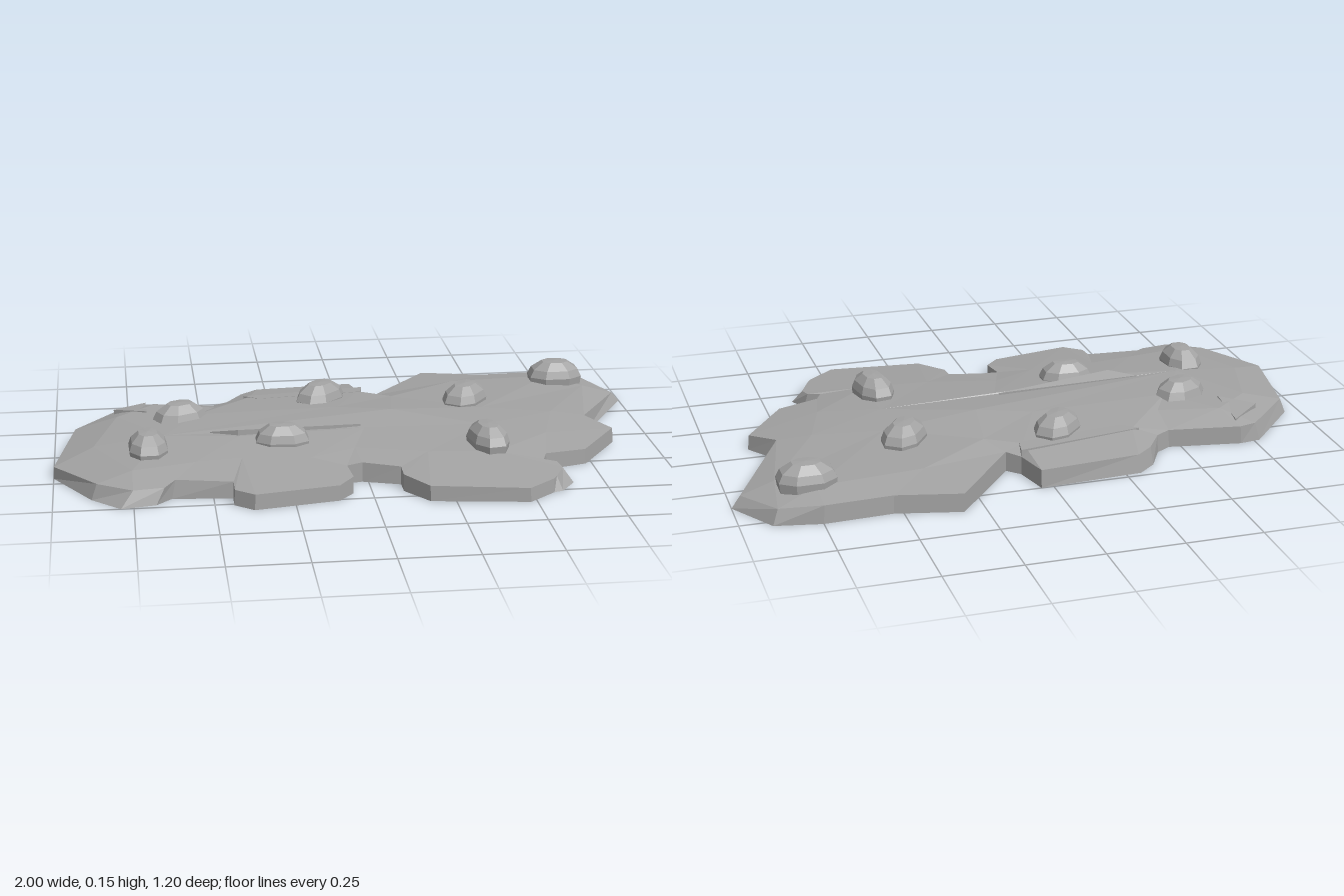
import * as THREE from 'three';

// Ground outline, clockwise from above: [x, z, rim height, rim inset scale]
const outline = [
  [-1, .2, .04, .998], [-.95, -.14, .05, .98], [-.77, -.34, .06, .98], [-.7, -.35, .06], [-.46, -.31, .06],
  [-.41, -.34, .06], [-.36, -.43, .06, .98], [-.3, -.48, .06, .98], [.04, -.5, .06], [.07, -.38, .06],
  [.11, -.34, .065], [.32, -.6, .06], [.53, -.55, .06], [.75, -.56, .06], [.9, -.53, .05, .98],
  [1, -.37, .035, .97], [.8, -.03, .065, .99], [.87, .07, .05], [.73, .27, .05], [.59, .31, .055],
  [.57, .36, .05], [.62, .38, .05, .98], [.65, .44, .045, .95], [.6, .51, .045, .97], [.57, .52, .045],
  [.48, .595, .045], [.17, .55, .05], [.1, .45, .055], [.1, .39, .06], [-.02, .35, .065],
  [-.07, .36, .06], [-.06, .45, .055], [-.11, .51, .05], [-.38, .56, .05], [-.44, .51, .05],
  [-.44, .45, .055], [-.63, .43, .06, .98], [-.68, .48, .05, .96], [-.79, .5, .05, .95], [-.88, .41, .05, .98],
];
// Shoulder and crown contours of the upper surface: [x, z, height]
const shoulder = [
  [-.87, .12, .075], [-.79, -.14, .088], [-.66, -.25, .092], [-.46, -.2, .088], [-.33, -.31, .085],
  [.05, -.33, .085], [.16, -.26, .085], [.4, -.42, .08], [.75, -.45, .078], [.86, -.35, .068],
  [.68, -.05, .078], [.62, .15, .072], [.42, .32, .074], [.2, .3, .076], [-.03, .24, .078],
  [-.18, .31, .076], [-.4, .3, .08], [-.55, .32, .08], [-.75, .36, .075],
];
const crown = [
  [-.64, .1, .098], [-.52, -.1, .1], [-.05, -.12, .1], [.13, -.06, .105],
  [.45, -.1, .086], [.42, .08, .086], [.02, .09, .094], [-.4, .14, .098],
];

// Pebbles: [x, z, half length, half width, turn]
const pebbles = [
  [-.58, -.09, .093, .068, .45], [-.695, .2, .095, .066, 1.6], [-.26, .175, .092, .06, -.05],
  [-.09, -.255, .1, .067, .8], [.405, -.185, .1, .067, .95], [.405, .25, .1, .063, 1.75],
  [.77, -.41, .098, .07, 0],
];

const stone = new THREE.MeshStandardMaterial({ color: 0xa3a3a3, flatShading: true });

function facetMesh(name, positions) {
  const geometry = new THREE.BufferGeometry();
  geometry.setAttribute('position', new THREE.Float32BufferAttribute(positions, 3));
  geometry.computeVertexNormals();
  const mesh = new THREE.Mesh(geometry, stone);
  mesh.name = name;
  return mesh;
}

// Add one triangle of [x, z, y] corners, turned to face up or down
function addTriangle(out, a, b, c, up) {
  const ny = (b[1] - a[1]) * (c[0] - a[0]) - (b[0] - a[0]) * (c[1] - a[1]);
  for (const [x, z, y] of (ny > 0) === up ? [a, b, c] : [a, c, b]) out.push(x, y, z);
}

// Cap a contour
function fill(out, ring, up) {
  const flat = ring.map(([x, z]) => new THREE.Vector2(x, z));
  for (const t of THREE.ShapeUtils.triangulateShape(flat, [])) {
    addTriangle(out, ring[t[0]], ring[t[1]], ring[t[2]], up);
  }
}

// Join two nested contours, always taking the shorter diagonal
function joinRings(out, outer, inner) {
  const gap = (a, b) => Math.hypot(a[0] - b[0], a[1] - b[1]);
  let i = 0, j = 0;
  while (i < outer.length || j < inner.length) {
    const a = outer[i % outer.length], nextA = outer[(i + 1) % outer.length];
    const b = inner[j % inner.length], nextB = inner[(j + 1) % inner.length];
    if (j === inner.length || (i < outer.length && gap(nextA, b) < gap(a, nextB))) {
      addTriangle(out, a, nextA, b, true);
      i++;
    } else {
      addTriangle(out, a, nextB, b, true);
      j++;
    }
  }
}

// Vertical sides between a lower and an upper contour
function addWalls(out, low, high) {
  low.forEach((a, i) => {
    const j = (i + 1) % low.length;
    for (const [x, z, y] of [low[j], a, high[i], low[j], high[i], high[j]]) out.push(x, y, z);
  });
}

function createSlab() {
  const out = [];
  const rim = outline.map(([x, z, h, s = .995]) => [x * s, z * s, h]);
  const base = outline.map(([x, z]) => [x, z, 0]);
  joinRings(out, rim, shoulder);
  joinRings(out, shoulder, crown);
  fill(out, crown, true);
  fill(out, base, false);
  addWalls(out, base, rim);
  return facetMesh('rockSlab', out);
}

// Thin splinter of rock standing proud of the slab
function createSplinter(name, corners) {
  const out = [];
  fill(out, corners, true);
  addWalls(out, corners.map(([x, z]) => [x, z, .05]), corners);
  return facetMesh(name, out);
}

// Rounded, slightly boxy faceted dome
function createPebbleGeometry() {
  const profile = [[.93, -.8], [1, 0], [.84, .5], [.42, .98], [0, 1.03]]
    .map(([x, y]) => new THREE.Vector2(x, y));
  const geometry = new THREE.LatheGeometry(profile, 8, Math.PI / 8);
  const p = geometry.attributes.position;
  const square = (v) => Math.sign(v) * Math.abs(v) ** .85;
  for (let i = 0; i < p.count; i++) p.setXYZ(i, square(p.getX(i)), p.getY(i), square(p.getZ(i)));
  return geometry;
}

export function createModel() {
  const group = new THREE.Group();
  group.name = 'rockPlatform';
  group.add(createSlab());

  // Cracked ledges on the surface, corners clockwise from above
  group.add(createSplinter('middleLedge', [[-.49, .09, .1], [.01, .07, .1], [-.4, .13, .116]]));
  group.add(createSplinter('backLedge', [[-.35, -.32, .086], [.07, -.38, .084], [.06, -.32, .087], [-.3, -.28, .088]]));
  group.add(createSplinter('cornerLedge', [[-.8, -.23, .084], [-.69, -.32, .076], [-.69, -.16, .097]]));

  // Faceted pebbles
  const pebbleGeometry = createPebbleGeometry();
  pebbles.forEach(([x, z, length, width, turn], i) => {
    const pebble = new THREE.Mesh(pebbleGeometry, stone);
    pebble.name = `pebble${i + 1}`;
    pebble.position.set(x, .095, z);
    pebble.scale.set(length, .052, width);
    pebble.rotation.y = turn;
    group.add(pebble);
  });
  return group;
}
